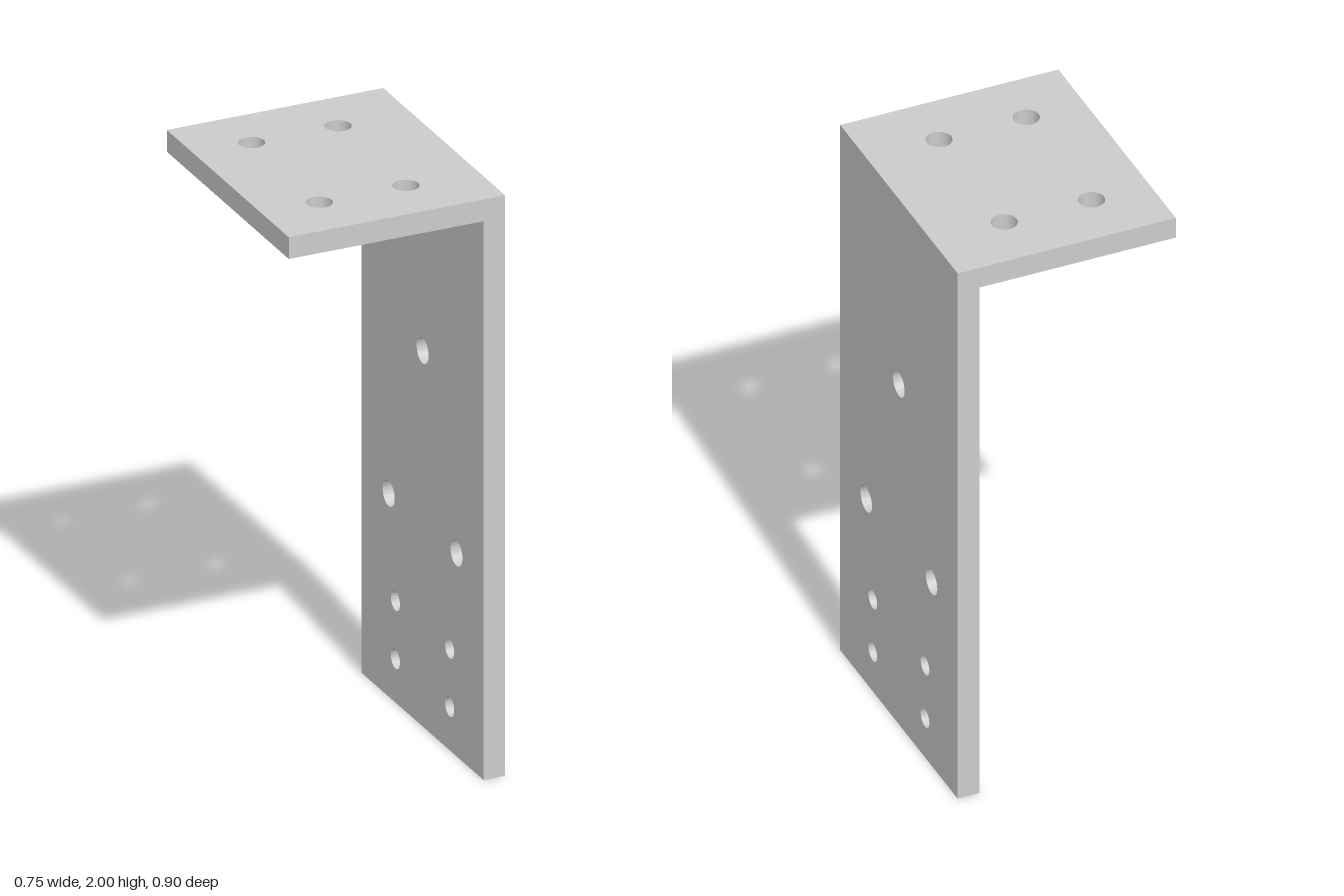
import * as THREE from 'three';
import { toCreasedNormals } from 'three/addons/utils/BufferGeometryUtils.js';

const THICKNESS = 0.075;
const HALF_X = 0.375;
const HALF_Z = 0.45;
const HEIGHT = 2;

// Flat plate spanning x0..x1, y0..y1, drilled with round holes [x, y, radius]
function drilledPlate(x0, x1, y0, y1, holes) {
  const shape = new THREE.Shape();
  shape.moveTo(x0, y0).lineTo(x1, y0).lineTo(x1, y1).lineTo(x0, y1).closePath();
  for (const [x, y, r] of holes) {
    shape.holes.push(new THREE.Path().absarc(x, y, r, 0, Math.PI * 2, true));
  }
  const geometry = new THREE.ExtrudeGeometry(shape, {
    depth: THICKNESS, bevelEnabled: false, curveSegments: 40,
  });
  return toCreasedNormals(geometry, 0.6);
}

export function createModel() {
  const bracket = new THREE.Group();
  bracket.name = 'angleBracket';
  const material = new THREE.MeshStandardMaterial({ color: 0xcccccc });

  // Tall upright leg: one upper hole, a middle pair and four small lower holes
  const uprightHoles = [[0, 1.295, 0.044]];
  for (const side of [-1, 1]) {
    uprightHoles.push([side * 0.25, 0.7, 0.044]);
    for (const y of [0.15, 0.35]) uprightHoles.push([side * 0.2, y, 0.033]);
  }
  const uprightGeometry = drilledPlate(-HALF_Z, HALF_Z, 0, HEIGHT, uprightHoles);
  uprightGeometry.rotateY(Math.PI / 2).translate(HALF_X - THICKNESS, 0, 0);
  const upright = new THREE.Mesh(uprightGeometry, material);
  upright.name = 'uprightPlate';

  // Short horizontal leg with four holes, butting against the upright
  const topHoles = [];
  for (const x of [-0.175, 0.125]) {
    for (const z of [-0.25, 0.25]) topHoles.push([x, z, 0.0425]);
  }
  const topGeometry = drilledPlate(-HALF_X, HALF_X - THICKNESS, -HALF_Z, HALF_Z, topHoles);
  topGeometry.rotateX(-Math.PI / 2).translate(0, HEIGHT - THICKNESS, 0);
  const top = new THREE.Mesh(topGeometry, material);
  top.name = 'topPlate';

  bracket.add(upright, top);
  return bracket;
}
